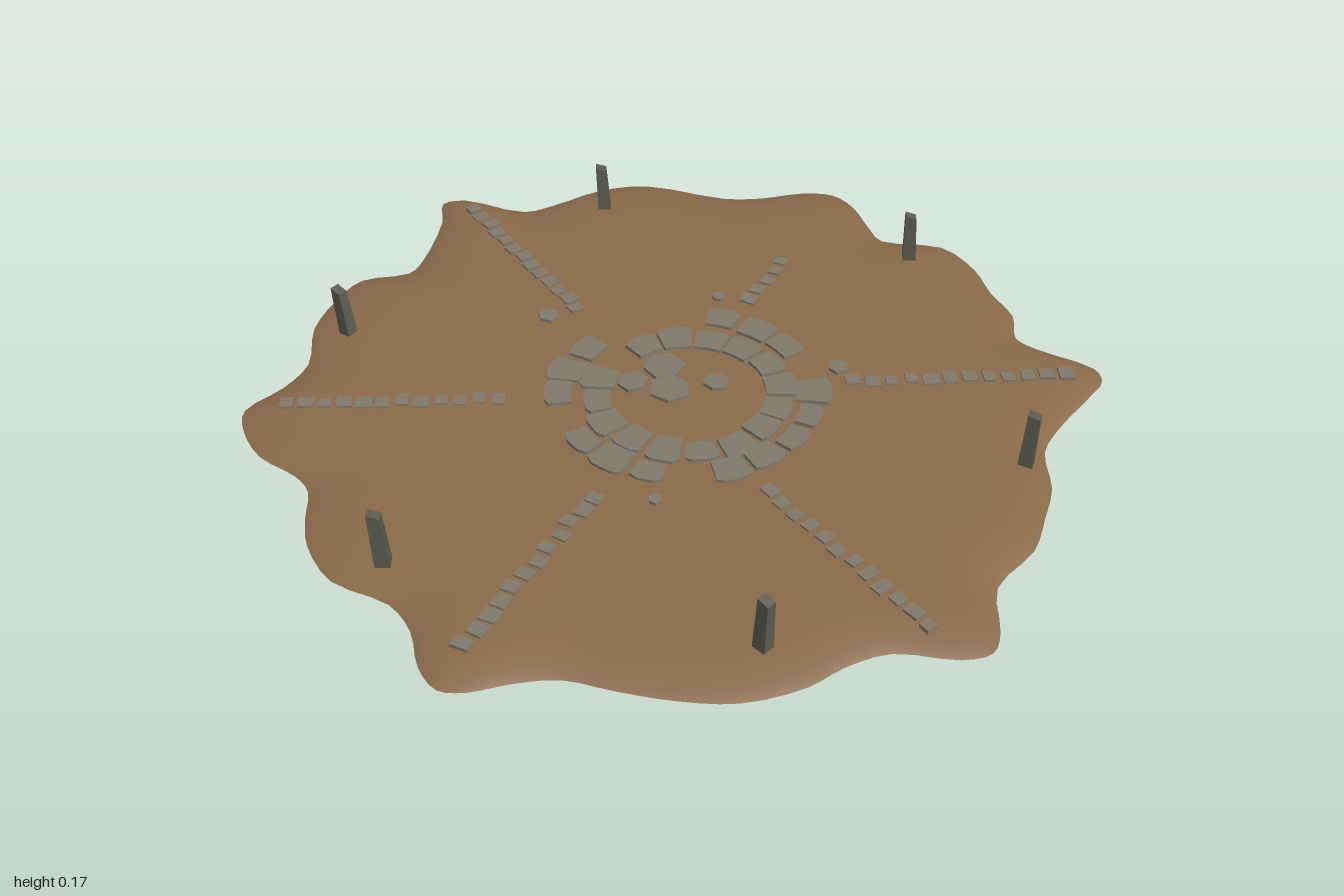
import * as THREE from 'three';
import { mergeGeometries } from 'three/addons/utils/BufferGeometryUtils.js';

// Ground outline as x, z pairs, clockwise from the back tip
const OUTLINE = [
  0, -1, 0.07, -0.97, 0.14, -0.9, 0.2, -0.85, 0.35, -0.89, 0.46, -0.83, 0.53, -0.75, 0.61, -0.68,
  0.645, -0.595, 0.7, -0.575, 0.85, -0.56, 0.88, -0.52, 0.87, -0.45, 0.84, -0.31, 0.835, -0.21,
  0.885, -0.1, 0.9, 0, 0.91, 0.11, 0.875, 0.25, 0.92, 0.37, 0.925, 0.43, 0.875, 0.475, 0.745, 0.52,
  0.675, 0.595, 0.63, 0.675, 0.53, 0.77, 0.415, 0.82, 0.295, 0.85, 0.19, 0.87, 0.11, 0.92, 0.04, 0.98,
  -0.015, 1, -0.08, 0.965, -0.145, 0.89, -0.225, 0.845, -0.37, 0.84, -0.475, 0.775, -0.53, 0.705,
  -0.575, 0.63, -0.63, 0.6, -0.74, 0.58, -0.83, 0.52, -0.87, 0.46, -0.84, 0.35, -0.84, 0.25,
  -0.91, 0.125, -0.93, 0, -0.92, -0.1, -0.83, -0.18, -0.83, -0.245, -0.88, -0.42, -0.925, -0.5,
  -0.88, -0.54, -0.71, -0.56, -0.65, -0.63, -0.58, -0.74, -0.475, -0.82, -0.26, -0.855,
  -0.17, -0.9, -0.075, -0.975,
];

let seed = 7;
function rnd(a, b) {
  seed = (seed * 16807) % 2147483647;
  return a + (b - a) * (seed / 2147483647);
}

// Shallow mound from scaled outline rings, closed by a flat underside
function moundGeometry() {
  const knots = [];
  for (let i = 0; i < OUTLINE.length; i += 2) knots.push(new THREE.Vector3(OUTLINE[i], 0, OUTLINE[i + 1]));
  const n = 180;
  const rim = new THREE.CatmullRomCurve3(knots, true).getPoints(n).slice(0, n);
  const rings = [[1, 0.008], [0.985, 0.013], [0.96, 0.018], [0.925, 0.023], [0.88, 0.0265], [0.82, 0.028], [0.4, 0.028]];
  const pos = [], idx = [];
  for (const [s, y] of rings) for (const p of rim) pos.push(p.x * s, y, p.z * s);
  const top = pos.length / 3;
  pos.push(0, 0.028, 0);
  for (const p of rim) pos.push(p.x, 0.008, p.z);
  const bottom = pos.length / 3;
  pos.push(0, 0.008, 0);
  const last = (rings.length - 1) * n;
  for (let i = 0; i < n; i++) {
    const j = (i + 1) % n;
    for (let r = 0; r < rings.length - 1; r++) {
      const a = r * n + i, b = r * n + j;
      idx.push(a, a + n, b, b, a + n, b + n);
    }
    idx.push(top, last + j, last + i);
    idx.push(bottom, top + 1 + i, top + 1 + j);
  }
  const g = new THREE.BufferGeometry();
  g.setAttribute('position', new THREE.Float32BufferAttribute(pos, 3));
  g.setIndex(idx);
  g.computeVertexNormals();
  return g;
}

// Flat stone from x, z corners, standing from y0 to y1
function slab(corners, y0, y1) {
  const shape = new THREE.Shape(corners.map(([x, z]) => new THREE.Vector2(x, -z)));
  const g = new THREE.ExtrudeGeometry(shape, { depth: y1 - y0, bevelEnabled: false });
  return g.rotateX(-Math.PI / 2).translate(0, y0, 0);
}

// Ring of wedge stones; gaps lists the missing ones
function stoneRing(cx, cz, r0, r1, count, gaps) {
  const stones = [];
  const step = (Math.PI * 2) / count;
  for (let i = 0; i < count; i++) {
    const a0 = i * step + rnd(0.01, 0.04), a1 = (i + 1) * step - rnd(0.01, 0.04);
    const inner = r0 + rnd(-0.008, 0.012), outer = r1 + rnd(-0.012, 0.008);
    const at = (r, a) => [cx + r * Math.cos(a), cz + r * Math.sin(a)];
    const corners = [at(inner, a0), at(outer - 0.008, a0), at(outer, a0 + 0.06), at(outer, (a0 + a1) / 2),
      at(outer, a1 - 0.06), at(outer - 0.008, a1), at(inner, a1), at(inner, (a0 + a1) / 2)];
    if (!gaps.includes(i)) stones.push(slab(corners, 0.015, 0.036 + rnd(-0.001, 0.001)));
  }
  return mergeGeometries(stones);
}

// Irregular rounded cobble
function cobble(x, z, r) {
  const corners = [];
  const turn = rnd(0, 1);
  for (let i = 0; i < 6; i++) {
    const a = turn + (i * Math.PI) / 3, k = r * rnd(0.88, 1.08);
    corners.push([x + k * Math.cos(a), z + k * Math.sin(a)]);
  }
  return slab(corners, 0.015, 0.036);
}

// Line of small stones running inward
function stoneLine(x0, z0, x1, z1) {
  const dx = x1 - x0, dz = z1 - z0, len = Math.hypot(dx, dz);
  const ux = dx / len, uz = dz / len, count = Math.round(len / 0.045);
  const stones = [];
  for (let i = 0; i < count; i++) {
    const t = (i + 0.5) / count, off = rnd(-0.006, 0.006);
    const cx = x0 + dx * t - uz * off, cz = z0 + dz * t + ux * off;
    const l = rnd(0.014, 0.02), w = rnd(0.016, 0.021);
    const corners = [[-1, -1], [1, -1], [1, 1], [-1, 1]].map(([a, b]) => {
      const p = a * l * rnd(0.85, 1.05), q = b * w * rnd(0.85, 1.05);
      return [cx + ux * p - uz * q, cz + uz * p + ux * q];
    });
    stones.push(slab(corners, 0.012, 0.033));
  }
  return mergeGeometries(stones);
}

// Tapered, leaning post with a slanted top
function postGeometry(height, leanX, leanZ) {
  const g = new THREE.BoxGeometry(0.034, height, 0.03, 1, 3, 1).translate(0, height / 2, 0);
  const p = g.attributes.position;
  for (let i = 0; i < p.count; i++) {
    const t = p.getY(i) / height, k = 1 - 0.2 * t;
    if (t > 0.99) p.setY(i, height - (p.getX(i) > 0 ? 0.008 : 0));
    p.setX(i, p.getX(i) * k + leanX * t);
    p.setZ(i, p.getZ(i) * k + leanZ * t);
  }
  g.computeVertexNormals();
  return g;
}

export function createModel() {
  const earth = new THREE.MeshStandardMaterial({ color: 0x8a6a4a });
  const stone = new THREE.MeshStandardMaterial({ color: 0x807a6c });
  const darkStone = new THREE.MeshStandardMaterial({ color: 0x5c5b50 });
  earth.name = 'earth';
  stone.name = 'stone';
  darkStone.name = 'darkStone';

  const model = new THREE.Group();
  model.name = 'stoneCircle';
  const add = (name, geometry, material) => {
    const mesh = new THREE.Mesh(geometry, material);
    mesh.name = name;
    model.add(mesh);
    return mesh;
  };

  add('ground', moundGeometry(), earth);

  // Paving rings and centre
  add('innerRing', stoneRing(0.035, -0.025, 0.175, 0.25, 16, [8]), stone);
  add('outerRing', stoneRing(0.03, -0.025, 0.258, 0.33, 20, [3, 7, 11, 12, 13, 17]), stone);
  const centre = [[-0.01, -0.02, 0.05], [-0.06, -0.09, 0.05], [0.075, -0.09, 0.033], [-0.1, -0.005, 0.038]];
  add('centreStones', mergeGeometries(centre.map((c) => cobble(...c))), stone);
  const loose = [[-0.405, -0.15, 0.026], [-0.065, -0.405, 0.018], [0.13, 0.34, 0.017], [0.31, -0.27, 0.025]];
  add('looseStones', mergeGeometries(loose.map((c) => cobble(...c))), stone);

  // Six radiating lines
  const lines = [
    [0.01, -0.64, 0.01, -0.41], [0.82, -0.495, 0.34, -0.225], [0.81, 0.445, 0.32, 0.195],
    [-0.02, 0.91, 0.005, 0.37], [-0.8, 0.43, -0.33, 0.175], [-0.84, -0.495, -0.34, -0.2],
  ];
  lines.forEach((l, i) => add('stoneLine' + (i + 1), stoneLine(...l), stone));

  // Standing posts: x, z, height, lean x, lean z, turn
  const posts = [
    [-0.515, -0.655, 0.155, -0.008, 0.004, 0.5], [0.298, -0.785, 0.16, -0.006, 0.004, 0.4],
    [0.81, -0.142, 0.165, 0.005, 0.003, 0.1], [0.512, 0.63, 0.165, 0.008, 0.003, -0.3],
    [-0.292, 0.757, 0.17, -0.008, 0.008, 0.4], [-0.812, 0.115, 0.155, -0.01, 0.008, -0.2],
  ];
  posts.forEach(([x, z, h, lx, lz, turn], i) => {
    const post = add('post' + (i + 1), postGeometry(h, lx, lz), darkStone);
    post.position.set(x, 0, z);
    post.rotation.y = turn;
  });
  return model;
}
